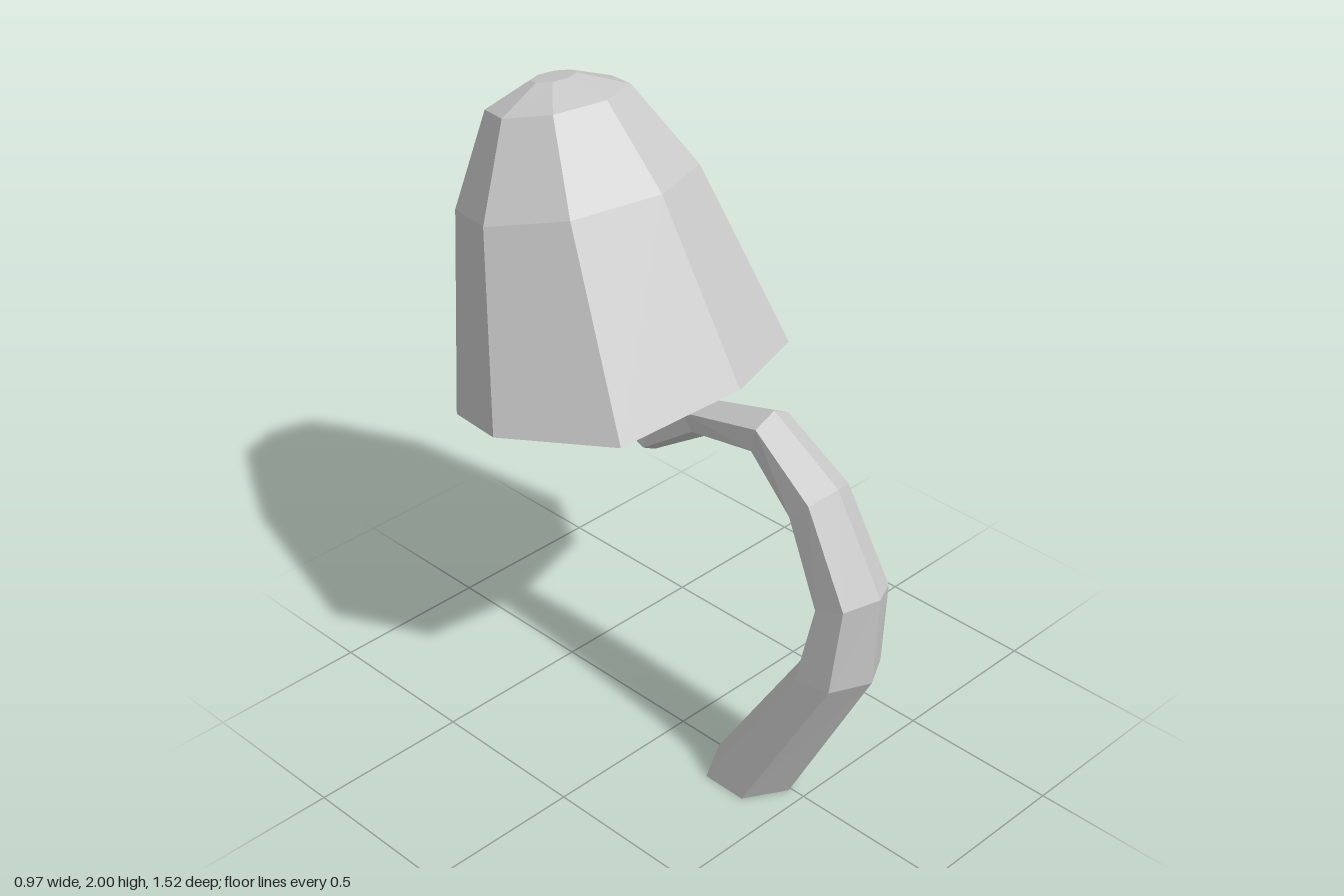
import * as THREE from 'three';

// Ring of points given its front and back ends [z, y] and its half width in x.
function ring(sides, x, zf, yf, zb, yb, halfWidth) {
  const points = [];
  for (let j = 0; j < sides; j++) {
    const a = (j / sides) * Math.PI * 2;
    const t = (1 - Math.cos(a)) / 2;
    points.push(new THREE.Vector3(
      x + Math.sin(a) * halfWidth,
      THREE.MathUtils.lerp(yf, yb, t),
      THREE.MathUtils.lerp(zf, zb, t)));
  }
  return points;
}

// Flat-faced skin over a stack of rings, with optional closed ends.
function loft(rings, closeStart, closeEnd) {
  const n = rings[0].length;
  const index = [];
  for (let i = 0; i < rings.length - 1; i++) {
    for (let j = 0; j < n; j++) {
      const k = (j + 1) % n;
      const a = i * n + j, b = i * n + k, c = a + n, d = b + n;
      index.push(a, b, d, a, d, c);
    }
  }
  const last = (rings.length - 1) * n;
  for (let j = 1; j < n - 1; j++) {
    if (closeStart) index.push(0, j + 1, j);
    if (closeEnd) index.push(last, last + j, last + j + 1);
  }
  const indexed = new THREE.BufferGeometry().setFromPoints(rings.flat());
  indexed.setIndex(index);
  const geometry = indexed.toNonIndexed();
  geometry.computeVertexNormals();
  return geometry;
}

function part(name, geometry, side) {
  const material = new THREE.MeshStandardMaterial({ color: 0xcccccc, flatShading: true, side });
  const mesh = new THREE.Mesh(geometry, material);
  mesh.name = name;
  return mesh;
}

export function createModel() {
  const group = new THREE.Group();
  group.name = 'mushroom';

  // Bent six-sided stem: outer z, y and inner z, y of each ring
  const stemRings = [
    [0.45, 0, 0.16, 0],
    [0.745, 0.56, 0.495, 0.52],
    [0.76, 0.85, 0.56, 0.765],
    [0.595, 1.13, 0.46, 1.0],
    [0.355, 1.275, 0.325, 1.127],
    [0.035, 1.185, 0.11, 1.09],
    [-0.09, 1.06, -0.11, 0.945],
    [-0.165, 1.09, -0.27, 1.02],
    [-0.24, 1.21, -0.34, 1.15],
    [-0.37, 1.6, -0.46, 1.57],
  ].map(([zf, yf, zb, yb]) => {
    const radius = Math.hypot(zf - zb, yf - yb) / 2;
    return ring(6, -0.01 * Math.min(1, radius / 0.1), zf, yf, zb, yb, radius);
  });
  group.add(part('stem', loft(stemRings, true, true), THREE.FrontSide));

  // Tilted eight-sided bell cap, open below
  const rim = ring(8, 0, 0.22, 1.28, -0.69, 1.0, 0.485);
  rim[2].set(0.485, 1.16, -0.21);
  rim[3].set(0.35, 1.01, -0.58);
  rim[5].set(-0.35, 1.01, -0.58);
  rim[6].set(-0.485, 1.13, -0.26);
  rim[7].set(-0.34, 1.19, 0.10);
  const capRings = [
    rim,
    ring(8, 0, -0.08, 1.77, -0.76, 1.58, 0.35),
    ring(8, 0, -0.29, 1.98, -0.69, 1.875, 0.207),
    ring(8, 0, -0.44, 2.0, -0.57, 1.968, 0.065),
  ];
  group.add(part('cap', loft(capRings, false, true), THREE.DoubleSide));

  return group;
}
